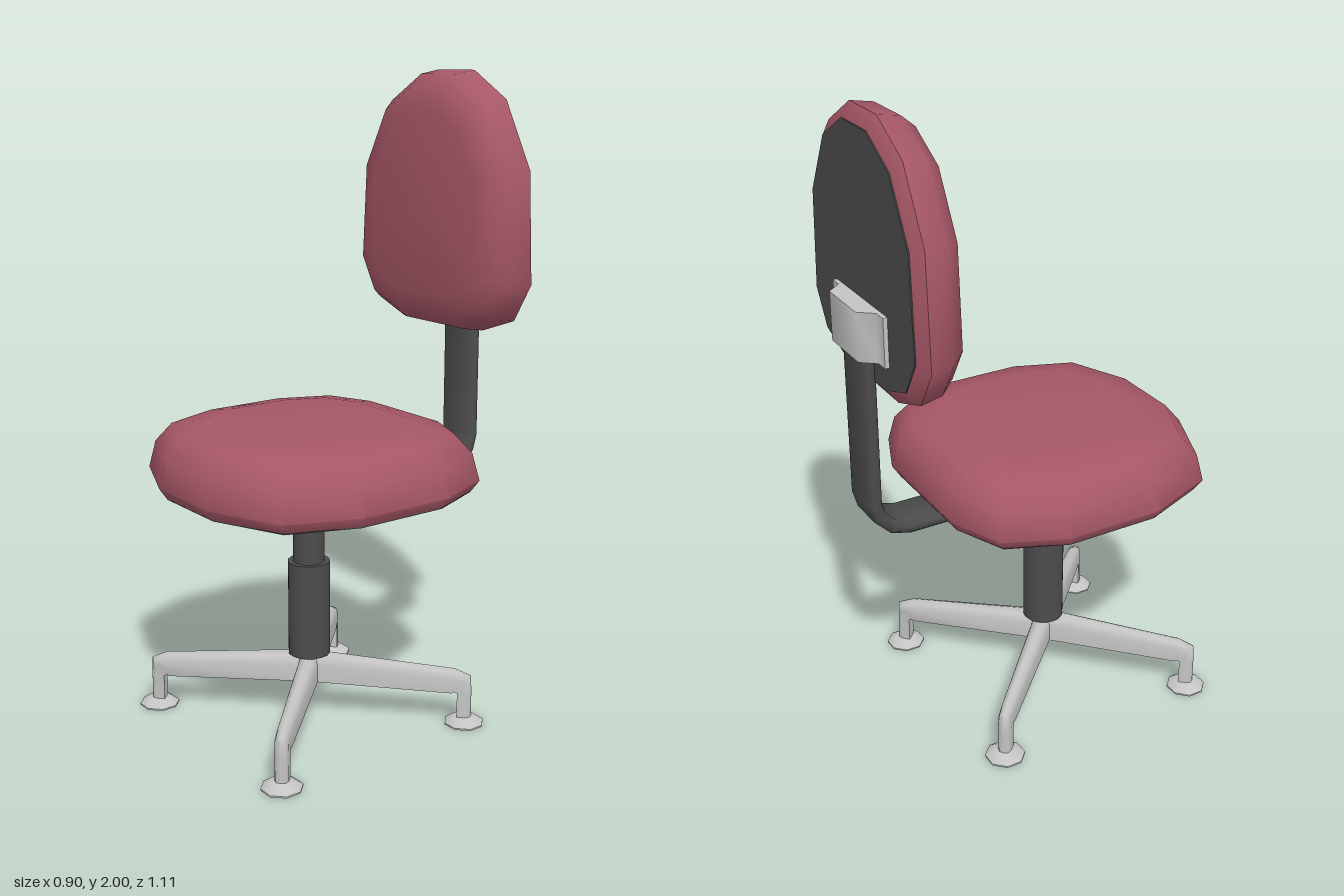
import * as THREE from 'three';
import { toCreasedNormals } from 'three/addons/utils/BufferGeometryUtils.js';

const material = (name, color) => {
  const m = new THREE.MeshStandardMaterial({ color });
  m.name = name;
  return m;
};

// Skins a list of point rings and caps both ends.
function loft(rings, crease) {
  const n = rings[0].length, pos = [], index = [];
  const push = p => pos.push(p.x, p.y, p.z);
  rings.forEach(r => r.forEach(push));
  for (let k = 0; k < rings.length - 1; k++)
    for (let i = 0; i < n; i++) {
      const a = k * n + i, b = k * n + (i + 1) % n;
      index.push(a, b, b + n, a, b + n, a + n);
    }
  const cap = (ring, start, flip) => {
    const ci = pos.length / 3;
    push(ring.reduce((s, p) => s.add(p), new THREE.Vector3()).divideScalar(n));
    for (let i = 0; i < n; i++) {
      const a = start + i, b = start + (i + 1) % n;
      index.push(ci, flip ? b : a, flip ? a : b);
    }
  };
  cap(rings.at(-1), (rings.length - 1) * n, false);
  cap(rings[0], 0, true);

  // Turn the faces outward if the loops ran the other way
  const v = i => new THREE.Vector3().fromArray(pos, i * 3);
  let volume = 0;
  for (let i = 0; i < index.length; i += 3)
    volume += v(index[i]).dot(v(index[i + 1]).cross(v(index[i + 2])));
  if (volume < 0)
    for (let i = 0; i < index.length; i += 3)
      [index[i + 1], index[i + 2]] = [index[i + 2], index[i + 1]];

  const g = new THREE.BufferGeometry();
  g.setAttribute('position', new THREE.Float32BufferAttribute(pos, 3));
  g.setIndex(index);
  return toCreasedNormals(g, crease);
}

// Sweeps a section along +z; stations are [z, y, angle, halfWidth, halfHeight].
function sweep(stations, section) {
  return loft(stations.map(([z, y, t, w, h]) => section.map(([u, v]) =>
    new THREE.Vector3(u * w, y + Math.cos(t) * v * h, z - Math.sin(t) * v * h))), 1.1);
}

// Completes a right-hand half outline with its mirror image
const mirrored = half => [...half, ...half.map(([x, y]) => [-x, y]).reverse()];

// Outline shrunk about its centre level by level, [scale, depth]
function layers(half, centre, levels, place) {
  return loft(levels.map(([s, d]) => mirrored(half).map(([x, y]) =>
    place(x * s, centre + (y - centre) * s, d))), 0.85);
}

// Stepped mounting plate with a raised, tapering middle
function plate(depth) {
  const pts = mirrored([[0.165, 0], [0.165, -0.015], [0.125, -0.015], [0.088, -0.06]]);
  const shape = new THREE.Shape(pts.map(p => new THREE.Vector2(...p)));
  return toCreasedNormals(new THREE.ExtrudeGeometry(shape, { depth, bevelEnabled: false }), 0.95);
}

export function createModel() {
  const chair = new THREE.Group();
  chair.name = 'officeChair';
  const fabric = material('redFabric', 0xa65766);
  const dark = material('darkPlastic', 0x4c4c4c);
  const metal = material('greyMetal', 0xc4c4c4);
  const add = (name, geometry, mat, parent = chair) => {
    const mesh = new THREE.Mesh(geometry, mat);
    mesh.name = name;
    parent.add(mesh);
    return mesh;
  };
  const Z = 0.105; // column axis

  // Seat cushion and its dark underside
  const seatHalf = [[0.2, -0.335], [0.37, -0.265], [0.45, -0.075], [0.45, 0.235], [0.365, 0.455], [0.135, 0.552]];
  const lying = (x, z, y) => new THREE.Vector3(x, y, z);
  add('seat', layers(seatHalf, Z,
    [[0.955, 0.763], [1, 0.795], [0.955, 0.88], [0.85, 0.938], [0.65, 0.955]], lying), fabric);
  add('seatUnderside', layers(seatHalf, Z, [[0.95, 0.759], [0.95, 0.765]], lying), dark);

  // Backrest cushion and its dark rear panel
  const backHalf = [[0.085, 2], [0.23, 1.915], [0.34, 1.71], [0.36, 1.37], [0.29, 1.25], [0.15, 1.2]];
  const upright = (x, y, z) => new THREE.Vector3(x, y, z);
  add('backrest', layers(backHalf, 1.59,
    [[0.91, -0.493], [1, -0.466], [0.97, -0.395], [0.88, -0.35], [0.7, -0.332]], upright), fabric);
  add('backrestPanel', layers(backHalf, 1.59, [[0.9, -0.497], [0.9, -0.491]], upright), dark);

  // Mounting plates under the seat and behind the backrest
  add('seatBracket', plate(0.2).translate(0, 0.76, 0.01), metal);
  add('backBracket', plate(0.15).rotateX(Math.PI / 2).translate(0, 1.47, -0.495), metal);

  // Bent flat bar joining seat and backrest
  const flat = [[-1, -0.4], [-0.8, -1], [0.8, -1], [1, -0.4], [1, 0.4], [0.8, 1], [-0.8, 1], [-1, 0.4]];
  const bend = [[-0.03, 0.73, 0], [0.4, 0.73, 0], [0.455, 0.745, 0.45], [0.5, 0.79, 1.1],
    [0.513, 0.835, Math.PI / 2], [0.513, 1.4, Math.PI / 2]];
  add('backSupport', sweep(bend.map(s => [...s, 0.072, 0.022]), flat).rotateY(Math.PI), dark);

  // Gas column
  add('columnUpper', new THREE.CylinderGeometry(0.05, 0.05, 0.22, 16).translate(0, 0.61, Z), dark);
  add('columnLower', new THREE.CylinderGeometry(0.066, 0.066, 0.305, 16).translate(0, 0.3625, Z), dark);

  // Four-legged base: round-topped arms turning down to feet
  const arm = [[-1, -1], [1, -1], [1, 0.2], [0.7, 0.8], [0, 1], [-0.7, 0.8], [-1, 0.2]];
  const armGeo = sweep([
    [0, 0.169, 0, 0.032, 0.048], [0.458, 0.143, -0.1, 0.022, 0.038], [0.486, 0.135, -0.8, 0.021, 0.036],
    [0.492, 0.105, -Math.PI / 2, 0.021, 0.022], [0.492, 0.015, -Math.PI / 2, 0.021, 0.022]], arm);
  const footProfile = [[0, 0], [0.063, 0], [0.063, 0.005], [0.035, 0.024], [0, 0.026]];
  const footGeo = toCreasedNormals(new THREE.LatheGeometry(
    footProfile.map(p => new THREE.Vector2(...p)), 8, Math.PI / 8), 0.85);
  for (let i = 0; i < 4; i++) {
    const leg = new THREE.Group();
    leg.name = 'baseLeg' + (i + 1);
    leg.position.z = Z;
    leg.rotation.y = Math.PI / 4 + i * Math.PI / 2;
    add('arm', armGeo, metal, leg);
    add('foot', footGeo, metal, leg).position.z = 0.492;
    chair.add(leg);
  }
  return chair;
}
